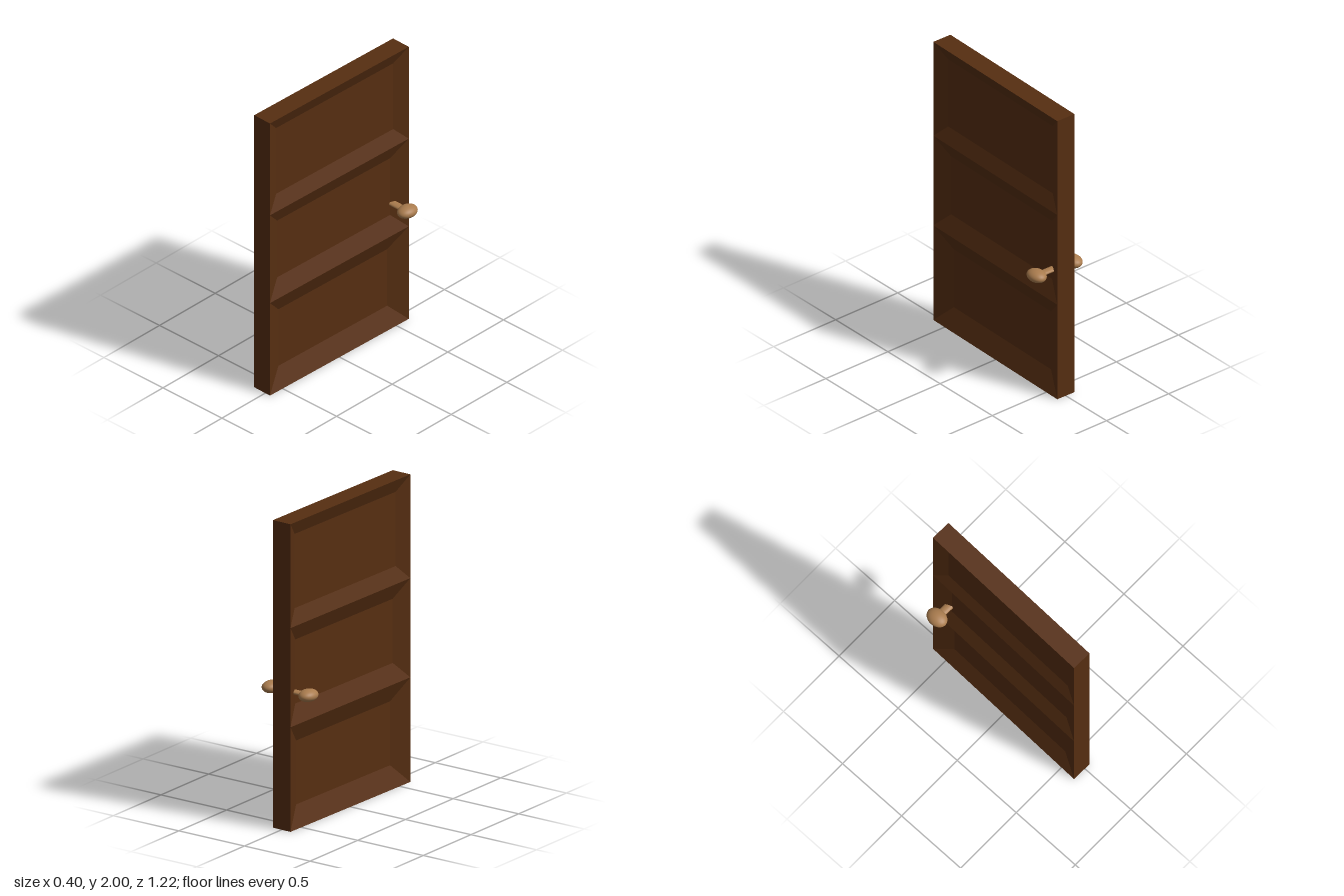
import * as THREE from 'three';

const HALF_T = 0.068; // half thickness of the door
const HALF_W = 0.61;  // half width of the door

// Flat-shaded geometry from a list of four-cornered faces
function quads(list) {
  const p = [];
  for (const [a, b, c, d] of list) p.push(...a, ...b, ...c, ...a, ...c, ...d);
  const g = new THREE.BufferGeometry();
  g.setAttribute('position', new THREE.Float32BufferAttribute(p, 3));
  g.computeVertexNormals();
  return g;
}

// Corners of an upright rectangle, counterclockwise seen from +x
const rect = (x, w, y0, y1) => [[x, y0, w], [x, y0, -w], [x, y1, -w], [x, y1, w]];

// Panel sunk behind four sloping borders
function sunkPanel(y0, y1, border, depth) {
  const o = rect(HALF_T, HALF_W, y0, y1);
  const n = rect(HALF_T - depth, HALF_W - border, y0 + border, y1 - border);
  const faces = [n];
  for (let i = 0; i < 4; i++) {
    const j = (i + 1) % 4;
    faces.push([o[i], o[j], n[j], n[i]]);
  }
  return quads(faces);
}

export function createModel() {
  const wood = new THREE.MeshStandardMaterial({ color: 0x562e11 });
  wood.name = 'darkWood';
  const tan = new THREE.MeshStandardMaterial({ color: 0xaa7c4e });
  tan.name = 'knobTan';

  const model = new THREE.Group();
  model.name = 'door';
  const add = (parent, geo, mat, name) => {
    const m = new THREE.Mesh(geo, mat);
    m.name = name;
    parent.add(m);
    return m;
  };

  // Slightly swung door leaf
  const leaf = new THREE.Group();
  leaf.name = 'doorLeaf';
  leaf.position.x = -0.014;
  leaf.rotation.y = -0.022;
  model.add(leaf);

  // Narrow outer edges
  const r = rect(HALF_T, HALF_W, 0, 2), l = rect(-HALF_T, HALF_W, 0, 2);
  const edges = r.map((c, i) => [c, l[i], l[(i + 1) % 4], r[(i + 1) % 4]]);
  add(leaf, quads(edges), wood, 'doorEdges');

  // Three panels on both faces: bottom, top, border width, depth
  const panels = [
    ['lowerPanel', 0, 0.68, 0.132, 0.057],
    ['middlePanel', 0.68, 1.325, 0.114, 0.05],
    ['upperPanel', 1.325, 2, 0.096, 0.041],
  ];
  for (const [name, y0, y1, border, depth] of panels) {
    const geo = sunkPanel(y0, y1, border, depth);
    add(leaf, geo, wood, name + 'Left');
    add(leaf, geo, wood, name + 'Right').rotation.y = Math.PI;
  }

  // Flattened knobs on a shared stem
  const knobs = new THREE.Group();
  knobs.name = 'knobs';
  knobs.position.set(0.01, 0.876, -0.512);
  leaf.add(knobs);
  const stem = add(knobs, new THREE.CylinderGeometry(0.027, 0.027, 0.25, 24).rotateZ(Math.PI / 2), tan, 'knobStem');
  stem.scale.y = 0.5;
  for (const s of [-1, 1]) {
    const knob = add(knobs, new THREE.SphereGeometry(1, 32, 20), tan, s > 0 ? 'leftKnob' : 'rightKnob');
    knob.scale.set(0.056, 0.039, 0.072);
    knob.position.x = s * 0.142;
  }
  return model;
}
